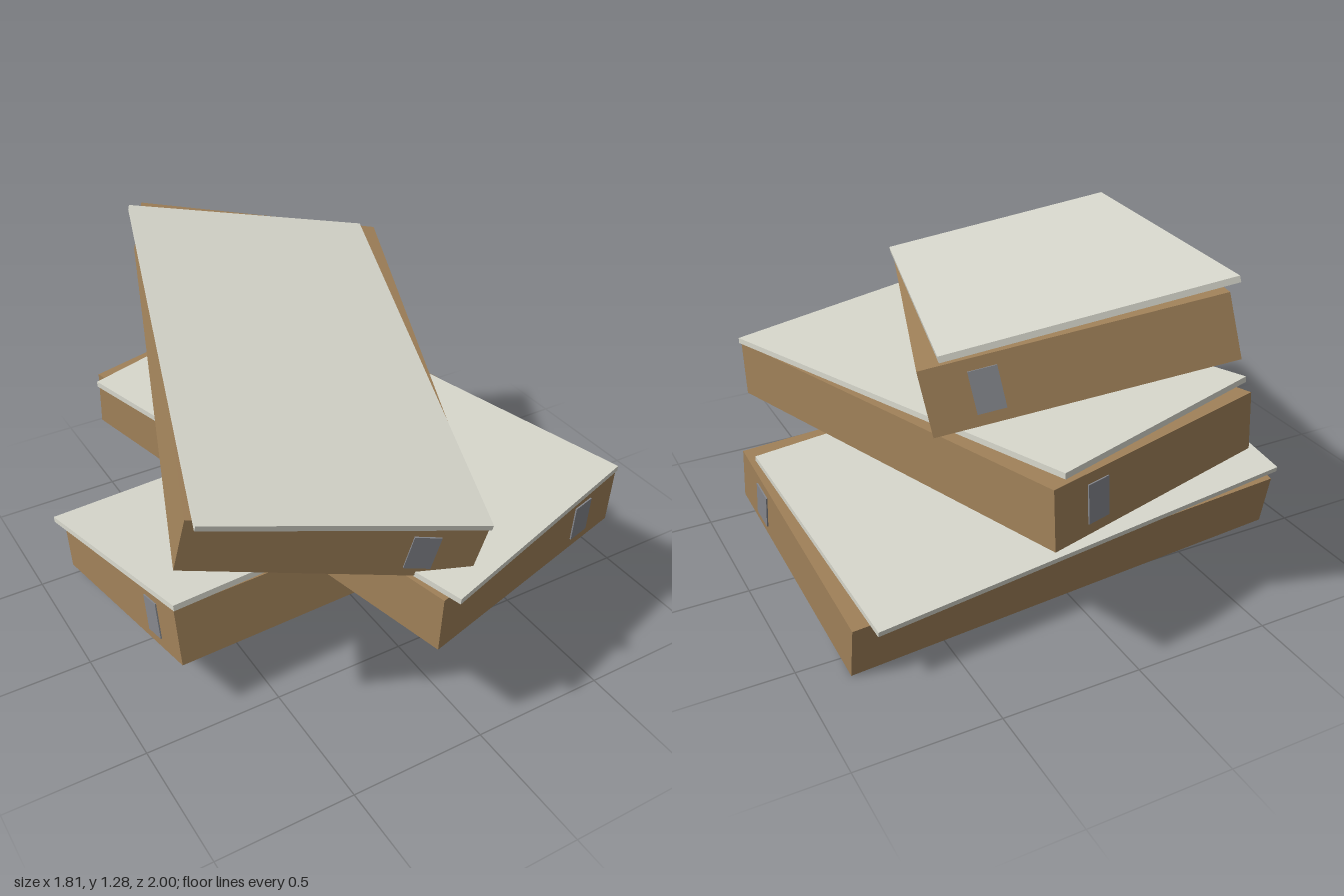
import * as THREE from 'three';

const WIDTH = 0.945, HEIGHT = 0.212, LENGTH = 1.712;
const LID = { w: 0.931, t: 0.021, l: 1.695 };

const cardboard = new THREE.MeshStandardMaterial({ color: 0xa08159 });
cardboard.name = 'brown cardboard';
const lidPaint = new THREE.MeshStandardMaterial({ color: 0xd8d8cd });
lidPaint.name = 'pale lid';
const labelGrey = new THREE.MeshStandardMaterial({ color: 0x85878d });
labelGrey.name = 'grey label';

function box(name, w, h, l, material, x, y, z) {
  const mesh = new THREE.Mesh(new THREE.BoxGeometry(w, h, l), material);
  mesh.name = name;
  mesh.position.set(x, y, z);
  return mesh;
}

// One flat carton; its origin is the centre of the body's top face
function carton(name, topCentre, widthAxis, lengthAxis) {
  const group = new THREE.Group();
  group.name = name;

  group.add(box('body', WIDTH, HEIGHT, LENGTH, cardboard, 0, -HEIGHT / 2, 0));

  // Lid sits slightly shifted and turned
  const lid = box('lid', LID.w, LID.t, LID.l, lidPaint, -0.023, LID.t / 2 + 0.001, 0.033);
  lid.rotation.y = 0.046;
  group.add(lid);

  // A label on each short end
  for (const end of [-1, 1]) {
    group.add(box('endLabel', 0.09, 0.136, 0.006, labelGrey, 0.285, -HEIGHT / 2, end * (LENGTH / 2 + 0.002)));
  }

  // Tilt and turn the carton to its place in the pile
  const z = new THREE.Vector3(...lengthAxis).normalize();
  const y = z.clone().cross(new THREE.Vector3(...widthAxis)).normalize();
  const x = y.clone().cross(z);
  group.quaternion.setFromRotationMatrix(new THREE.Matrix4().makeBasis(x, y, z));
  group.position.set(...topCentre);
  return group;
}

export function createModel() {
  const model = new THREE.Group();
  model.name = 'cartonPile';
  model.add(
    carton('bottomCarton', [0.018, 0.332, -0.136], [0.053, 0.209, 0.977], [-0.998, 0.022, 0.053]),
    carton('middleCarton', [0.074, 0.69, 0.005], [0.964, 0.005, -0.265], [0.265, -0.061, 0.962]),
    carton('topCarton', [-0.122, 1.043, -0.019], [0.93, -0.2, 0.307], [-0.342, -0.154, 0.927]),
  );
  return model;
}
